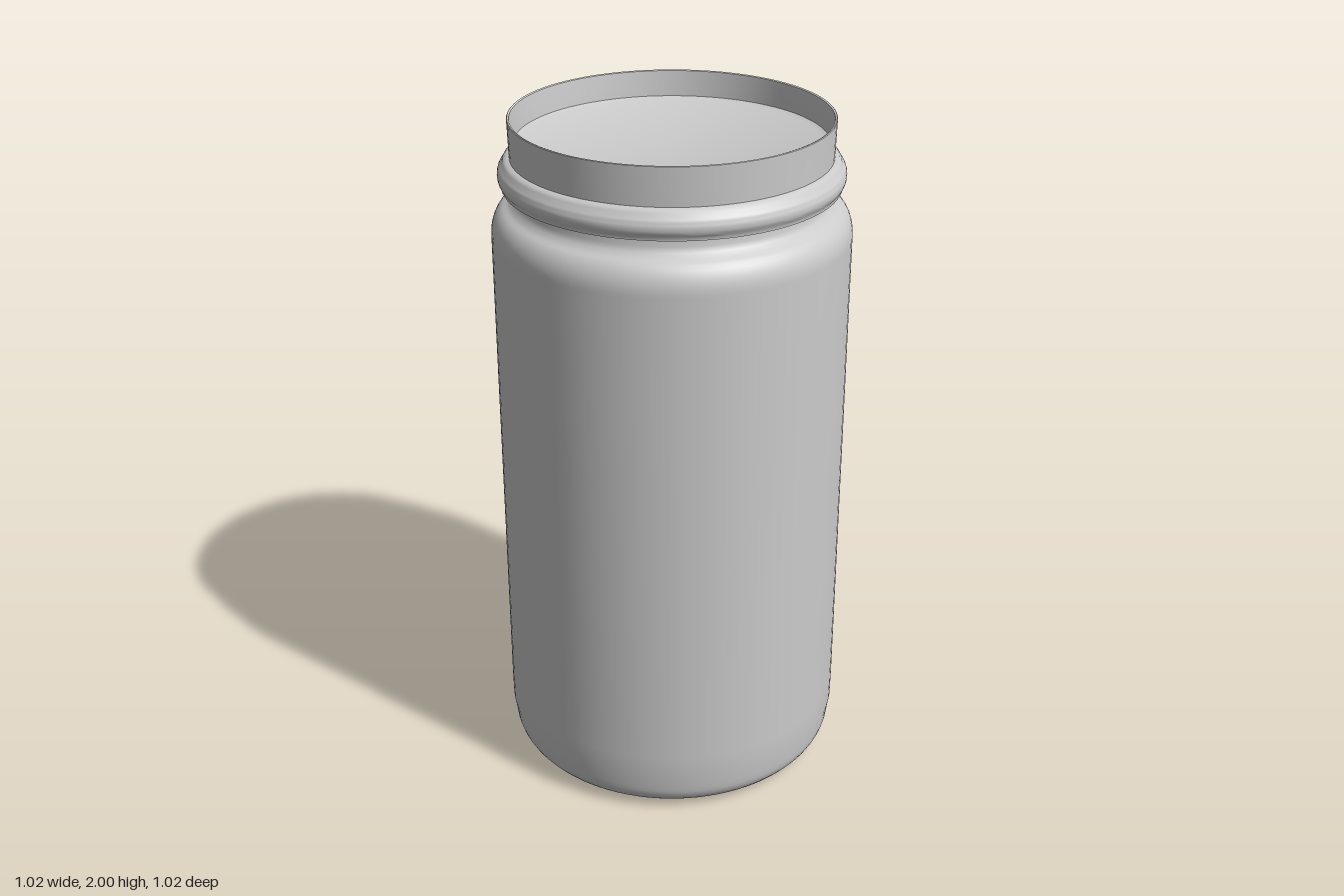
import * as THREE from 'three';
import { toCreasedNormals } from 'three/addons/utils/BufferGeometryUtils.js';

const SEGMENTS = 96;

// Revolves a profile of [radius, height] points, keeping its sharp edges
function turned(name, profile) {
  const points = profile.map(([r, y]) => new THREE.Vector2(r, y));
  const geometry = toCreasedNormals(new THREE.LatheGeometry(points, SEGMENTS), 0.7);
  const material = new THREE.MeshStandardMaterial({ color: 0xcccccc, side: THREE.DoubleSide });
  const mesh = new THREE.Mesh(geometry, material);
  mesh.name = name;
  return mesh;
}

// Points along an elliptical arc, angles in degrees
function arc(cx, cy, rx, ry, from, to, steps = 8) {
  return Array.from({ length: steps + 1 }, (_, i) => {
    const a = THREE.MathUtils.degToRad(from + ((to - from) * i) / steps);
    return [cx + rx * Math.cos(a), cy + ry * Math.sin(a)];
  });
}

export function createModel() {
  const jar = new THREE.Group();
  jar.name = 'jar';

  // Base, rounded heel, straight wall, rounded shoulder and short neck
  jar.add(turned('body', [
    [0, 0.006], [0.36, 0.004], [0.4, 0],
    ...arc(0.42, 0.085, 0.08, 0.08, -90, 0),
    [0.507, 0.13], [0.508, 0.2], [0.508, 1.66],
    ...arc(0.448, 1.67, 0.06, 0.085, 0, 75),
    [0.447, 1.765], [0.442, 1.78], [0.441, 1.81],
  ]));

  // Protruding ring with a flat underside
  jar.add(turned('bead', [
    [0.441, 1.81], [0.475, 1.808],
    ...arc(0.462, 1.842, 0.023, 0.032, -55, 60),
    [0.469, 1.88], [0.463, 1.887], [0.45, 1.89],
  ]));

  // Thin upright lip, outside then inside
  jar.add(turned('rim', [
    [0.45, 1.89], [0.451, 1.93], [0.453, 1.998],
    [0.451, 2], [0.446, 1.998], [0.441, 1.95], [0.439, 1.92],
  ]));

  // Flat surface set just below the lip
  jar.add(turned('innerLid', [[0.439, 1.924], [0.425, 1.918], [0, 1.917]]));

  return jar;
}
